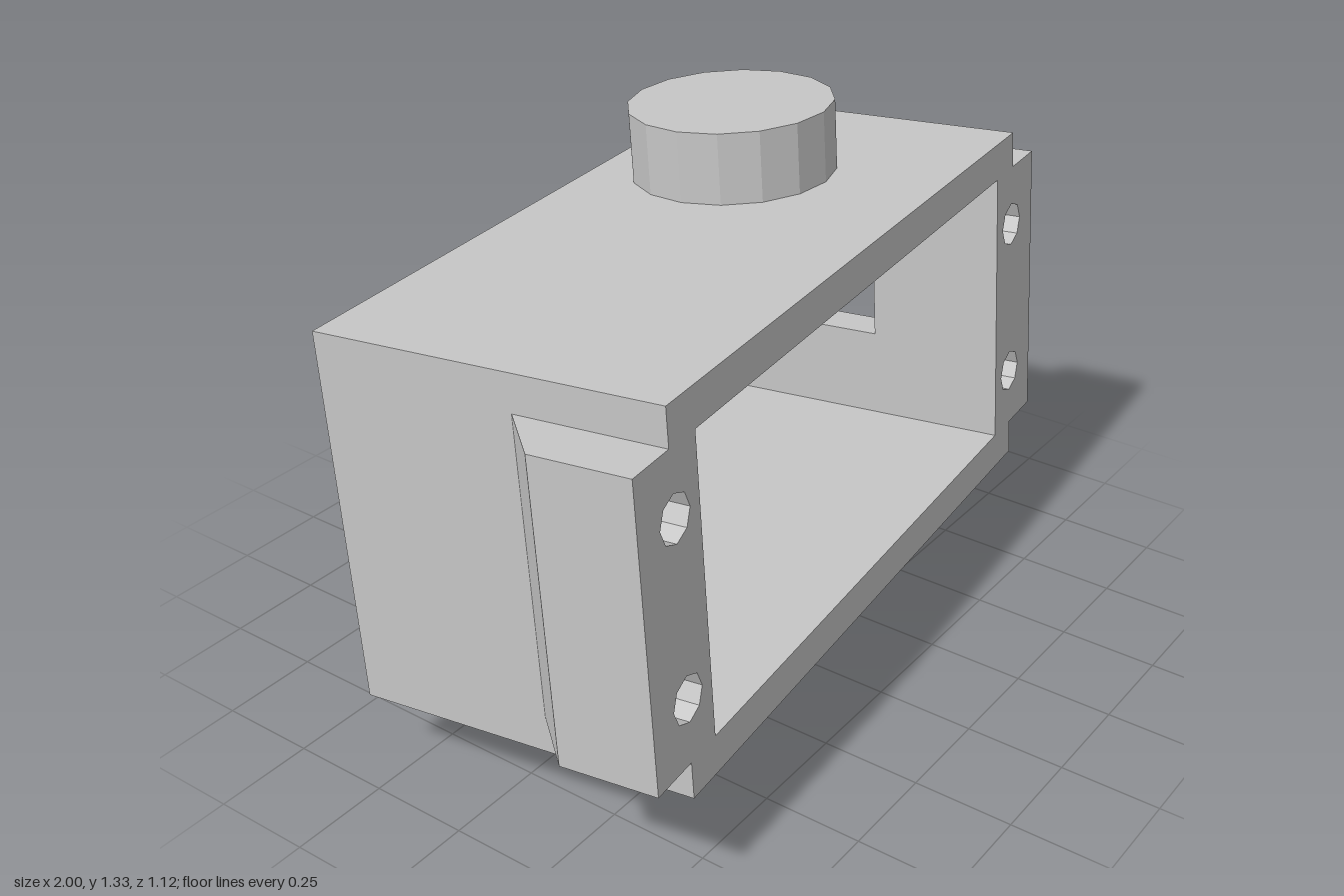
import * as THREE from 'three';

const W = 0.86, H = 0.4625, D = 0.4375;   // half sizes of the frame
const IX = 0.76, IY = 0.367;              // half sizes of the opening
const FX = 0.992, FY = 0.37;              // half sizes across the side flanges
const STEP = 0.1925;                      // back plane of the flanged front

const polygon = pts => new THREE.Shape(pts.map(([x, y]) => new THREE.Vector2(x, y)));

const extrude = (shape, depth) =>
  new THREE.ExtrudeGeometry(shape, { depth, bevelEnabled: false });

export function createModel() {
  const grey = new THREE.MeshStandardMaterial({ color: 0xc6c6c6 });
  const body = new THREE.Group();
  body.name = 'bracket';

  const add = (name, geometry) => {
    const mesh = new THREE.Mesh(geometry, grey);
    mesh.name = name;
    body.add(mesh);
    return mesh;
  };
  const box = (name, x0, x1, y0, y1, z0, z1) =>
    add(name, new THREE.BoxGeometry(x1 - x0, y1 - y0, z1 - z0))
      .position.set((x0 + x1) / 2, (y0 + y1) / 2, (z0 + z1) / 2);

  // Front frame with side flanges, rectangular opening and four screw holes
  const front = polygon([
    [-W, -H], [W, -H], [W, -FY], [FX, -FY], [FX, FY], [W, FY],
    [W, H], [-W, H], [-W, FY], [-FX, FY], [-FX, -FY], [-W, -FY],
  ]);
  front.holes.push(polygon([[-IX, -IY], [-IX, IY], [IX, IY], [IX, -IY]]));
  for (const x of [-0.855, 0.855]) {
    for (const y of [-0.213, 0.213]) {
      const pts = [];
      for (let i = 0; i < 8; i++) {
        const a = -i * Math.PI / 4;
        pts.push([x + 0.057 * Math.cos(a), y + 0.057 * Math.sin(a)]);
      }
      front.holes.push(polygon(pts));
    }
  }
  add('frontFrame', extrude(front, D - STEP).translate(0, 0, STEP));

  // Walls behind the front frame
  box('topWall', -W, W, IY, H, -D, STEP);
  box('bottomWall', -W, W, -H, -IY, -D, STEP);
  box('rightWall', -W, -IX, -IY, IY, -D, STEP);

  // Left wall with a slot open to the back
  const slotY = 0.128, slotZ = 0.08;
  const slotted = polygon([
    [-STEP, -IY], [D, -IY], [D, -slotY], [-slotZ, -slotY],
    [-slotZ, slotY], [D, slotY], [D, IY], [-STEP, IY],
  ]);
  add('leftSlottedWall', extrude(slotted, W - IX).rotateY(Math.PI / 2).translate(IX, 0, 0));

  // Slanted backs of the flanges
  for (const s of [1, -1]) {
    const wedge = polygon([[s * W, -STEP], [s * FX, -STEP], [s * W, -0.067]]);
    add(s > 0 ? 'leftFlangeWedge' : 'rightFlangeWedge',
      extrude(wedge, 2 * FY).rotateX(-Math.PI / 2).translate(0, -FY, 0));
  }

  // Faceted pivot pins above and below
  const pin = (name, radius, y0, y1) => {
    const geometry = new THREE.CylinderGeometry(radius, radius, y1 - y0, 16).toNonIndexed();
    geometry.computeVertexNormals();
    add(name, geometry).position.set(0.355, (y0 + y1) / 2, -0.102);
  };
  pin('topPin', 0.258, H, 0.64);
  pin('bottomPin', 0.263, -0.66, -H);

  // Slightly tilted and turned pose
  body.rotation.set(-0.066, 0.1047, 0);
  body.position.set(-0.036, 0.687, -0.005);

  const model = new THREE.Group();
  model.name = 'pivotBracket';
  model.add(body);
  return model;
}
